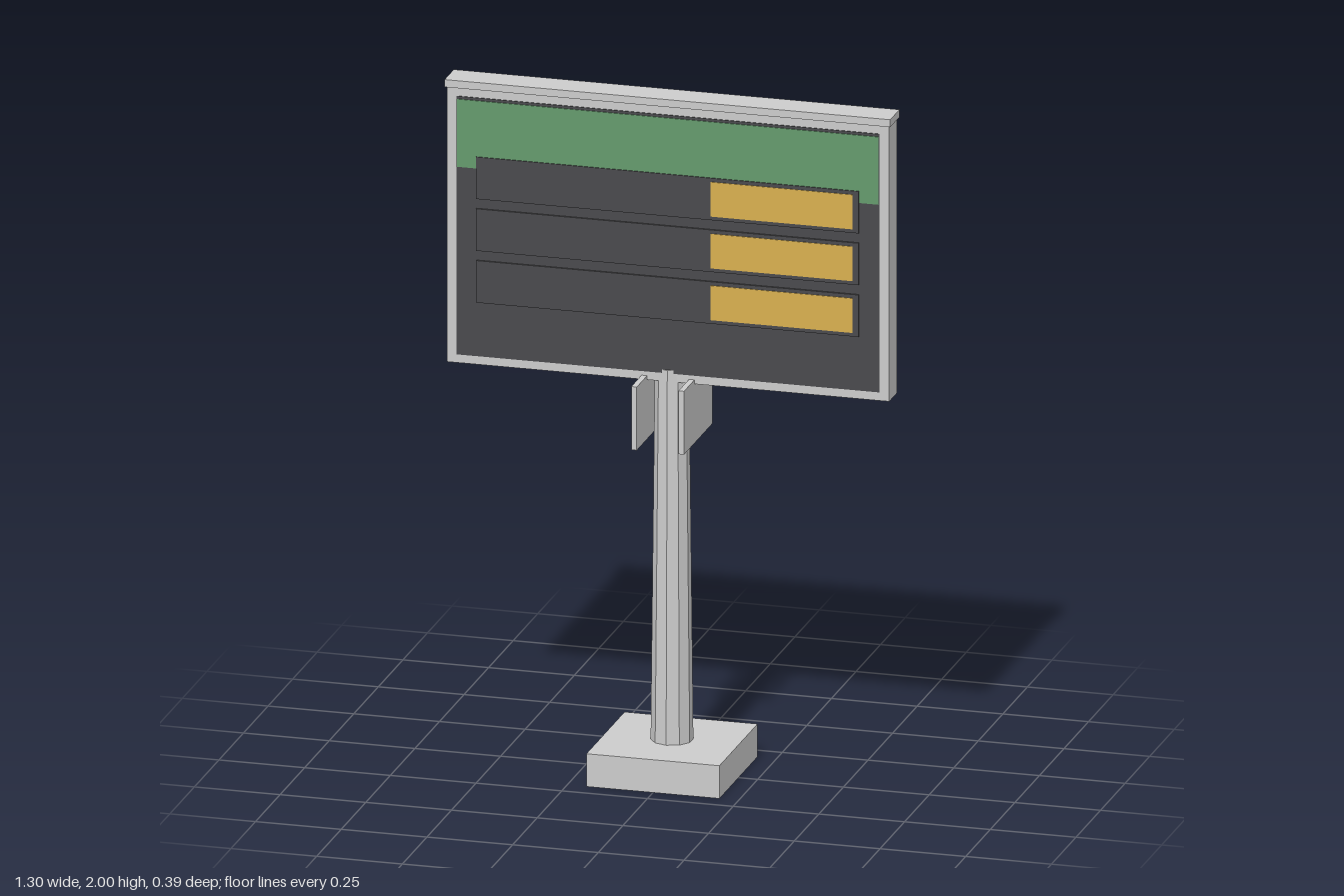
import * as THREE from 'three';

export function createModel() {
  const model = new THREE.Group();
  const paint = (color) => new THREE.MeshStandardMaterial({ color, flatShading: true });
  const grey = paint(0xcccccc);
  const dark = paint(0x4a4a4d);
  const green = paint(0x659a6d);
  const amber = paint(0xd9b050);

  // Box given by its limits on each axis
  function block(name, material, [x0, x1], [y0, y1], [z0, z1]) {
    const mesh = new THREE.Mesh(new THREE.BoxGeometry(x1 - x0, y1 - y0, z1 - z0), material);
    mesh.position.set((x0 + x1) / 2, (y0 + y1) / 2, (z0 + z1) / 2);
    mesh.name = name;
    model.add(mesh);
  }

  // Footing and tapered, faceted pole
  block('footing', grey, [-0.194, 0.194], [0, 0.097], [-0.194, 0.194]);
  const pole = new THREE.Mesh(new THREE.CylinderGeometry(0.048, 0.06, 1.105, 10), grey);
  pole.position.y = 0.095 + 1.105 / 2;
  pole.name = 'pole';
  model.add(pole);

  // Bracket plates on either side of the pole
  for (const side of [-1, 1]) {
    const x = side * 0.069;
    block('bracketPlate', grey, [x - 0.008, x + 0.008], [0.99, 1.177], [-0.146, 0.146]);
  }

  // Cabinet with its overhanging cap
  block('cabinet', grey, [-0.645, 0.645], [1.165, 1.978], [-0.04, 0.04]);
  block('cap', grey, [-0.65, 0.65], [1.978, 2], [-0.047, 0.047]);

  // Display face and header band
  block('displayFace', dark, [-0.617, 0.617], [1.19, 1.953], [0.03, 0.0425]);
  block('headerBand', green, [-0.615, 0.615], [1.745, 1.945], [0.03, 0.045]);

  // Three information rows, each with a bright field at its right end
  for (let i = 0; i < 3; i++) {
    const y = 1.718 - i * 0.153;
    block('displayRow', dark, [-0.558, 0.558], [y - 0.062, y + 0.062], [0.03, 0.048]);
    block('rowField', amber, [0.127, 0.541], [y - 0.051, y + 0.051], [0.03, 0.05]);
  }
  return model;
}
